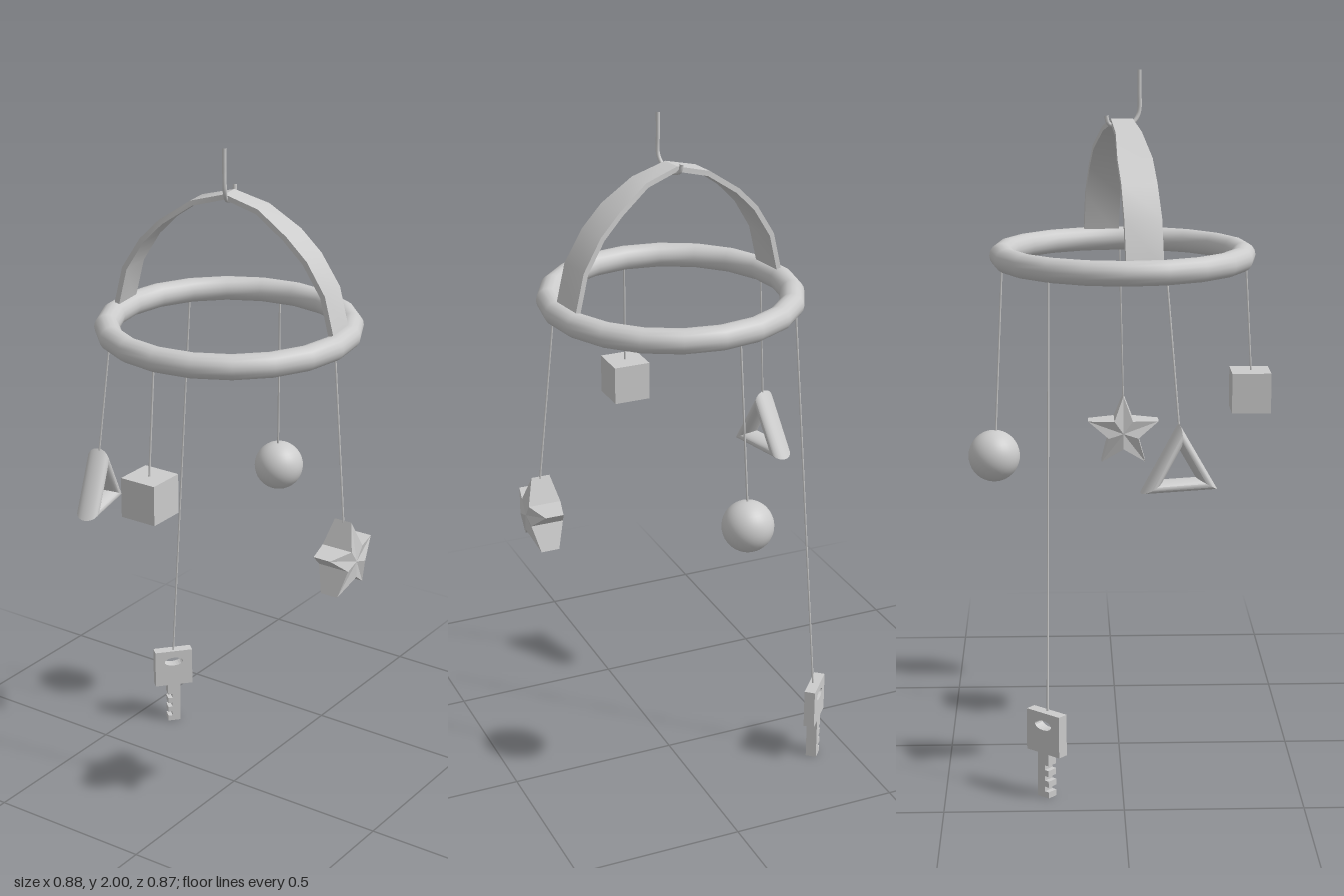
import * as THREE from 'three';
import { toCreasedNormals } from 'three/addons/utils/BufferGeometryUtils.js';

const material = new THREE.MeshStandardMaterial({ color: 0xcccccc });
const flat = new THREE.MeshStandardMaterial({ color: 0xcccccc, flatShading: true, side: THREE.DoubleSide });
const V = (x, y, z) => new THREE.Vector3(x, y, z);

function part(name, geometry, x = 0, y = 0, z = 0, mat = material) {
  const mesh = new THREE.Mesh(geometry, mat);
  mesh.name = name;
  mesh.position.set(x, y, z);
  return mesh;
}

// Thin straight cord between two points
function cord(name, from, to) {
  const dir = to.clone().sub(from);
  const mid = from.clone().add(to).multiplyScalar(0.5);
  const mesh = part(name, new THREE.CylinderGeometry(0.003, 0.003, dir.length(), 6), mid.x, mid.y, mid.z);
  mesh.quaternion.setFromUnitVectors(V(0, 1, 0), dir.normalize());
  return mesh;
}

// Arched strap: a segmented box bent along half-profile stations [u, y, halfWidth]
function strapGeometry() {
  const half = [[0, 1.858, 0.031], [0.1, 1.83, 0.037], [0.19, 1.768, 0.049],
    [0.25, 1.708, 0.05], [0.305, 1.62, 0.052], [0.337, 1.49, 0.052]];
  const stations = [...half.slice(1).reverse().map(([u, y, w]) => [-u, y, w]), ...half];
  const n = stations.length - 1;
  const geo = new THREE.BoxGeometry(n, 1, 1, n, 1, 1);
  const p = geo.attributes.position;
  for (let i = 0; i < p.count; i++) {
    const k = Math.round(p.getX(i) + n / 2);
    const [u, y, w] = stations[k];
    const a = stations[Math.max(k - 1, 0)], b = stations[Math.min(k + 1, n)];
    const len = Math.hypot(b[0] - a[0], b[1] - a[1]);
    const off = p.getY(i) * 0.015;
    p.setXYZ(i, u - off * (b[1] - a[1]) / len, y + off * (b[0] - a[0]) / len, p.getZ(i) * 2 * w);
  }
  return toCreasedNormals(geo, 0.5);
}

// Five-pointed star, thin at the tips and thick at the inner corners; faces along x
function starGeometry() {
  const ring = [];
  for (let i = 0; i < 10; i++) {
    const tip = i % 2 === 0, r = tip ? 0.114 : 0.048, a = i * Math.PI / 5;
    ring.push([tip ? 0.027 : 0.048, r * Math.cos(a), r * Math.sin(a)]);
  }
  const out = [];
  ring.forEach(([d, y, z], i) => {
    const [e, y2, z2] = ring[(i + 1) % 10];
    out.push(0.048, 0, 0, d, y, z, e, y2, z2);
    out.push(-0.048, 0, 0, -e, y2, z2, -d, y, z);
    out.push(d, y, z, -d, y, z, -e, y2, z2, d, y, z, -e, y2, z2, e, y2, z2);
  });
  const geo = new THREE.BufferGeometry();
  geo.setAttribute('position', new THREE.Float32BufferAttribute(out, 3));
  geo.computeVertexNormals();
  return geo;
}

// Flat key with an oval hole and notched blade, top edge at y = 0.25
function keyGeometry() {
  const w = 0.02;
  const outline = [[-0.06, 0.25], [-0.06, 0.13], [-w, 0.13], [-w, 0], [w, 0]];
  for (const y of [0.018, 0.05, 0.082]) {
    outline.push([w, y], [w - 0.014, y], [w - 0.014, y + 0.014], [w, y + 0.014]);
  }
  outline.push([w, 0.13], [0.06, 0.13], [0.06, 0.25]);
  const shape = new THREE.Shape(outline.map(([x, y]) => new THREE.Vector2(x, y)));
  shape.holes.push(new THREE.Path().absellipse(0, 0.213, 0.03, 0.014, 0, Math.PI * 2, true));
  const geo = new THREE.ExtrudeGeometry(shape, { depth: 0.032, bevelEnabled: false, curveSegments: 10 });
  return geo.translate(0, 0, -0.016);
}

export function createModel() {
  const model = new THREE.Group();
  model.name = 'hangingMobile';

  // Main ring
  const ring = new THREE.TorusGeometry(0.344, 0.035, 16, 20).rotateX(Math.PI / 2);
  model.add(part('ring', toCreasedNormals(ring, 0.5), -0.01, 1.48, 0.01));

  // Strap over the ring
  const strap = part('strap', strapGeometry(), -0.01, 0, 0.008);
  strap.rotation.y = 0.155;
  model.add(strap);

  // Wire hook passing under the strap
  const hookPath = new THREE.CatmullRomCurve3([
    V(0.008, 2, 0.058), V(0.008, 1.94, 0.058), V(0.008, 1.88, 0.056), V(0, 1.852, 0.038),
    V(-0.01, 1.842, 0), V(-0.02, 1.853, -0.03), V(-0.022, 1.875, -0.036)]);
  model.add(part('hook', new THREE.TubeGeometry(hookPath, 32, 0.006, 8)));

  // Hanging cords
  const cords = {
    triangleCord: [V(-0.343, 1.46, 0.12), V(-0.374, 1.06, 0.153)],
    cubeCord: [V(-0.013, 1.46, 0.362), V(-0.02, 1.14, 0.38)],
    ballCord: [V(-0.066, 1.46, -0.332), V(-0.083, 0.98, -0.355)],
    starCord: [V(0.344, 1.46, 0.012), V(0.39, 0.975, 0.025)],
    keyCord: [V(-0.298, 1.46, -0.2), V(-0.384, 0.245, -0.211)],
  };
  for (const [name, [from, to]] of Object.entries(cords)) model.add(cord(name, from, to));

  // Triangle: three-sided torus with one corner up
  const tri = new THREE.TorusGeometry(0.091, 0.034, 20, 3).rotateZ(Math.PI / 2);
  const triangle = part('triangle', toCreasedNormals(tri, 0.7), -0.378, 0.945, 0.153);
  triangle.rotation.y = -1.33;
  model.add(triangle);

  // Cube, ball and star
  model.add(part('cube', new THREE.BoxGeometry(0.112, 0.116, 0.112), -0.02, 1.088, 0.378));
  model.add(part('ball', new THREE.SphereGeometry(0.074, 32, 20), -0.083, 0.913, -0.36));
  model.add(part('star', starGeometry(), 0.388, 0.873, 0.025, flat));

  // Key
  const key = part('key', keyGeometry(), -0.388, 0, -0.214);
  key.rotation.y = Math.atan2(-0.75, -0.66);
  model.add(key);

  return model;
}
